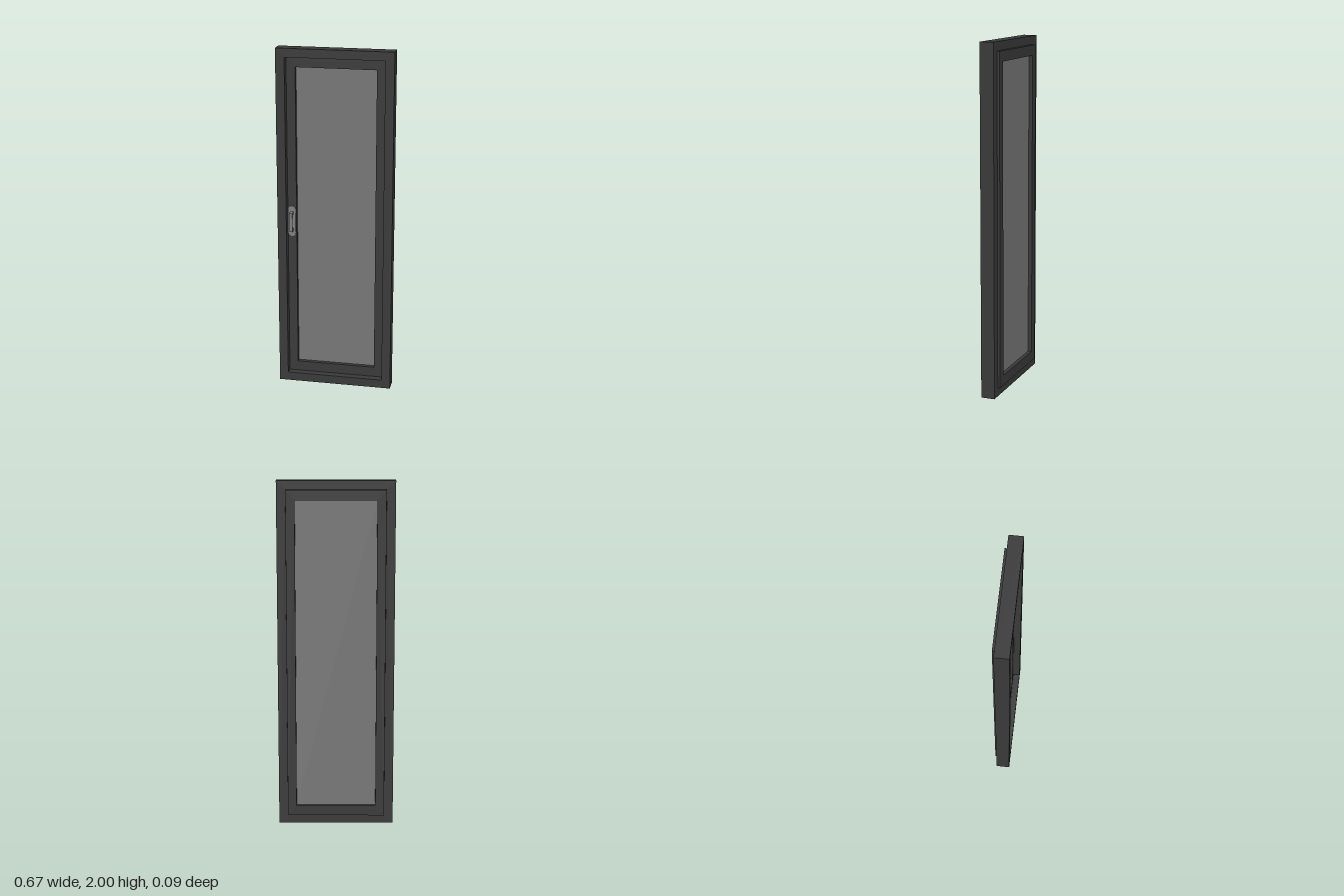
import * as THREE from 'three';

const dark = new THREE.MeshStandardMaterial({ color: 0x3a3a3a });
const pane = new THREE.MeshStandardMaterial({ color: 0x777777 });
const metal = new THREE.MeshStandardMaterial({ color: 0x808080 });

function add(parent, name, geometry, material, x = 0, y = 0, z = 0) {
  const mesh = new THREE.Mesh(geometry, material);
  mesh.name = name;
  mesh.position.set(x, y, z);
  parent.add(mesh);
  return mesh;
}

// Rectangular ring centred on the origin, running from z0 to z1
function ring(w, h, innerW, innerH, z0, z1) {
  const rect = (P, a, b) => new P([[-a, -b], [a, -b], [a, b], [-a, b]]
    .map(([x, y]) => new THREE.Vector2(x / 2, y / 2)));
  const shape = rect(THREE.Shape, w, h);
  shape.holes.push(rect(THREE.Path, innerW, innerH));
  return new THREE.ExtrudeGeometry(shape, { depth: z1 - z0, bevelEnabled: false }).translate(0, 0, z0);
}

// Upright plate with half-round ends
function pill(w, h, depth) {
  const r = w / 2, s = new THREE.Shape();
  s.absarc(0, h / 2 - r, r, 0, Math.PI, false);
  s.absarc(0, r - h / 2, r, Math.PI, Math.PI * 2, false);
  s.closePath();
  return new THREE.ExtrudeGeometry(s, { depth, bevelEnabled: false, curveSegments: 16 });
}

export function createModel() {
  const model = new THREE.Group();
  model.name = 'window';

  // Fixed outer frame
  add(model, 'outerFrame', ring(0.666, 2, 0.564, 1.9, -0.034, 0.046), dark, 0, 1);

  // Sash, set back at the front and standing proud at the back
  add(model, 'sash', ring(0.562, 1.898, 0.46, 1.78, -0.048, 0.006), dark, 0, 1);

  // Glass pane
  add(model, 'glass', new THREE.BoxGeometry(0.46, 1.78, 0.008), pane, 0, 1, -0.022);

  // Handle: rounded back plate, two stems and a grip
  const handle = new THREE.Group();
  handle.name = 'handle';
  handle.position.set(-0.256, 0.993, 0.006);
  add(handle, 'handlePlate', pill(0.042, 0.182, 0.005), metal);
  for (const side of [-1, 1]) {
    add(handle, 'handleStem', new THREE.BoxGeometry(0.018, 0.014, 0.026), metal, 0, side * 0.05, 0.017);
  }
  add(handle, 'handleGrip', new THREE.BoxGeometry(0.018, 0.114, 0.01), metal, 0, 0, 0.033);
  model.add(handle);

  return model;
}
